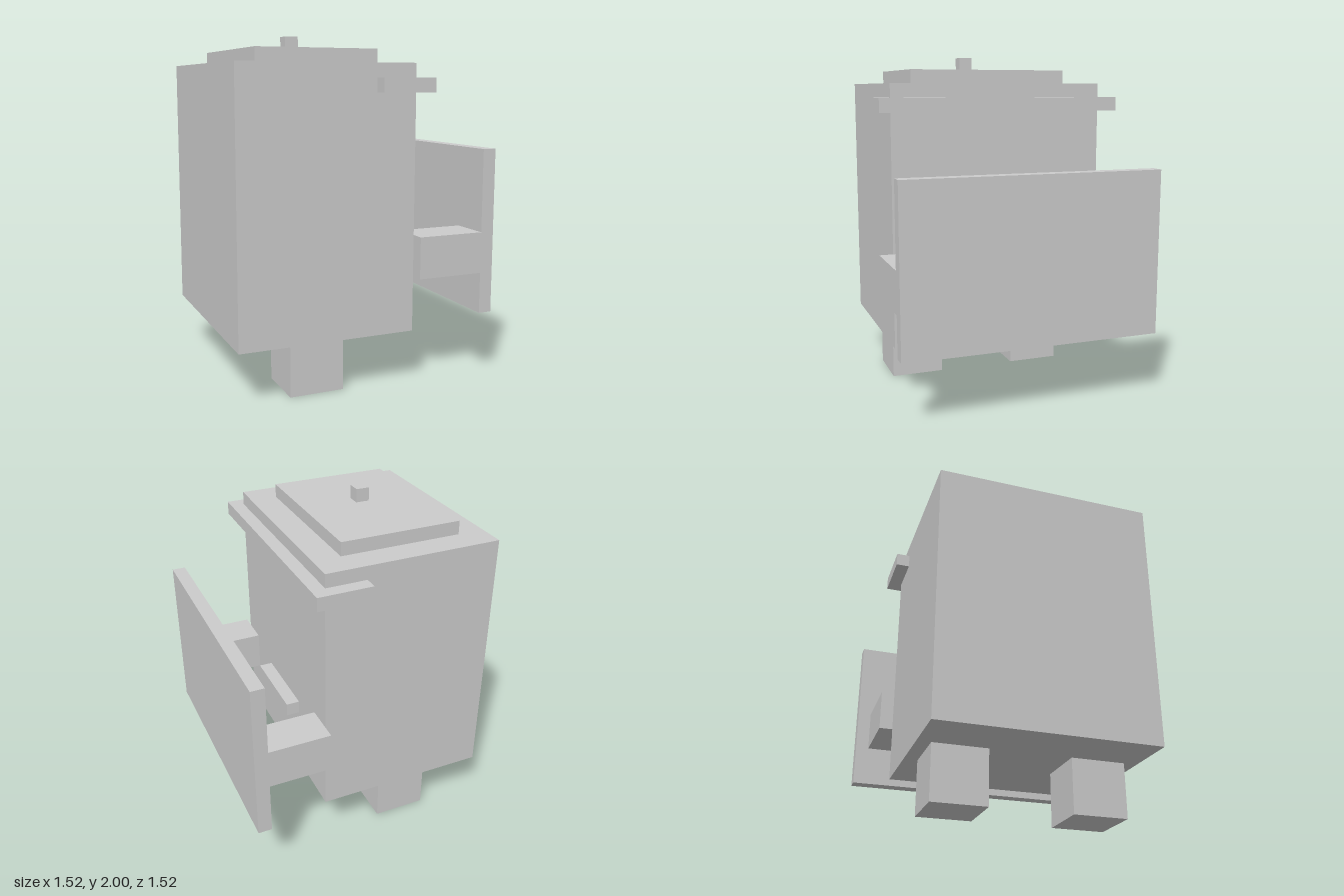
import * as THREE from 'three';

const material = new THREE.MeshStandardMaterial({ color: 0xcccccc, flatShading: true });

// Box given by its [min, max] extent along each axis
function block(name, [x0, x1], [y0, y1], [z0, z1]) {
  const mesh = new THREE.Mesh(new THREE.BoxGeometry(x1 - x0, y1 - y0, z1 - z0), material);
  mesh.name = name;
  mesh.position.set((x0 + x1) / 2, (y0 + y1) / 2, (z0 + z1) / 2);
  return mesh;
}

export function createModel() {
  const model = new THREE.Group();
  model.name = 'blockFigure';
  const midZ = 0.04; // symmetry plane of the figure

  // Body with stepped lid and knob
  model.add(
    block('body', [-0.76, 0.28], [0.32, 1.84], [-0.6, 0.68]),
    block('lid', [-0.6, 0.12], [1.84, 1.92], [-0.44, 0.52]),
    block('knob', [-0.28, -0.2], [1.92, 2], [0.04, 0.12]),
  );

  // Band wrapping the upper face, and the small ledge between the arms
  model.add(
    block('brim', [0.04, 0.36], [1.68, 1.76], [-0.68, 0.76]),
    block('ledge', [0.28, 0.36], [0.72, 0.8], [-0.2, 0.28]),
  );

  // Mirrored legs and arms
  for (const [side, s] of [['left', -1], ['right', 1]]) {
    const span = (a, b) => [midZ + s * a, midZ + s * b].sort((p, q) => p - q);
    model.add(
      block(side + 'Leg', [-0.44, -0.12], [0, 0.32], span(0.24, 0.56)),
      block(side + 'Arm', [0.28, 0.68], [0.64, 0.88], span(0.48, 0.72)),
    );
  }

  // Upright panel held by the arms
  model.add(block('panel', [0.68, 0.76], [0.4, 1.36], [-0.76, 0.76]));

  return model;
}
